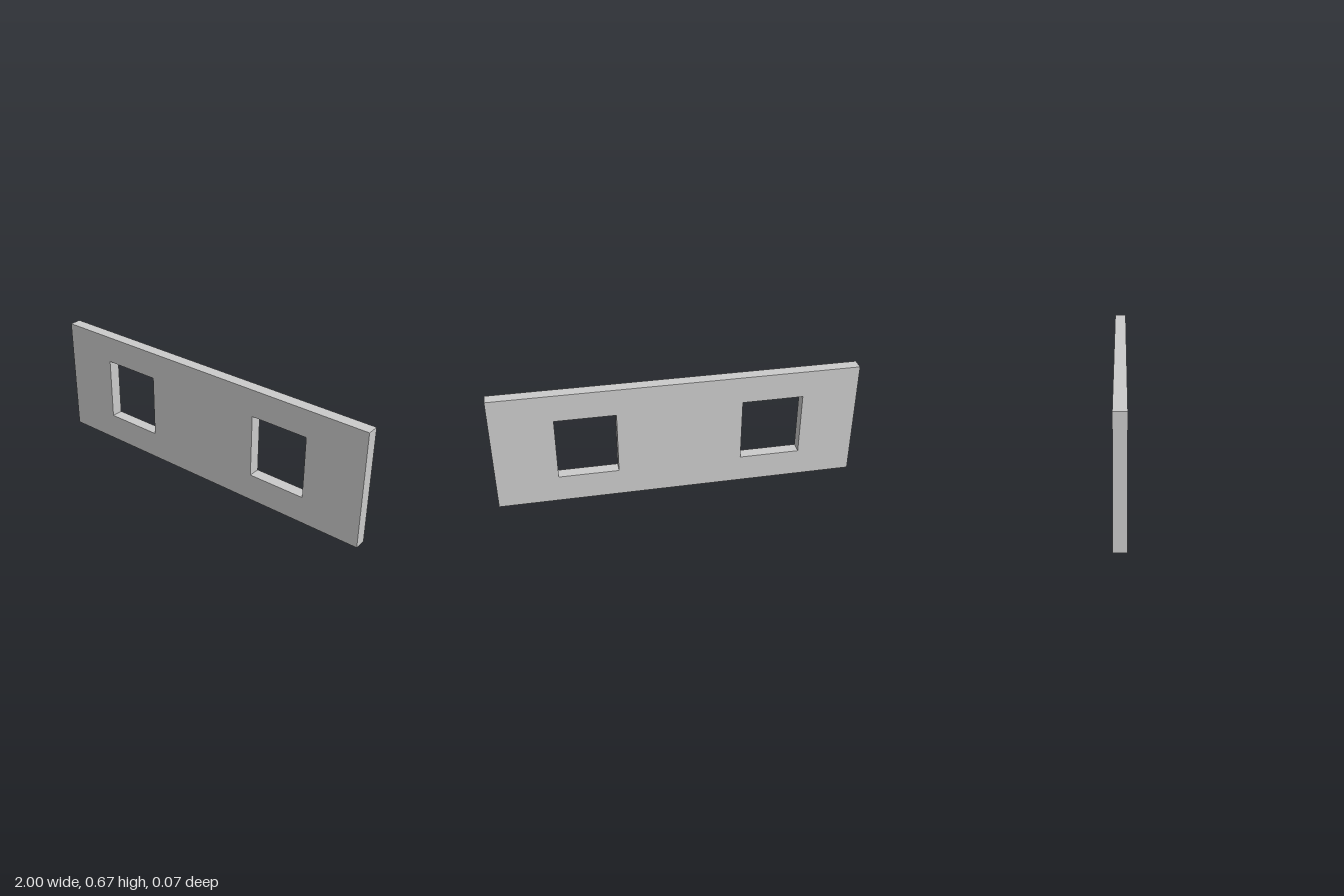
import * as THREE from 'three';

const HEIGHT = 0.667, DEPTH = 0.066;

// Adds a rectangle outline to a shape or path
function rect(path, x0, x1, y0, y1) {
  path.moveTo(x0, y0);
  path.lineTo(x1, y0);
  path.lineTo(x1, y1);
  path.lineTo(x0, y1);
  path.closePath();
  return path;
}

export function createModel() {
  const group = new THREE.Group();
  group.name = 'wallPanel';

  // Wall slab with two window openings
  const outline = rect(new THREE.Shape(), -1, 1, 0, HEIGHT);
  for (const [x0, x1] of [[-0.69, -0.353], [0.333, 0.663]]) {
    outline.holes.push(rect(new THREE.Path(), x0, x1, 0.156, 0.514));
  }
  const geometry = new THREE.ExtrudeGeometry(outline, { depth: DEPTH, bevelEnabled: false });
  geometry.translate(0, 0, -DEPTH / 2);

  const wall = new THREE.Mesh(geometry, new THREE.MeshStandardMaterial({ color: 0xcccccc }));
  wall.name = 'wall';
  group.add(wall);
  return group;
}
